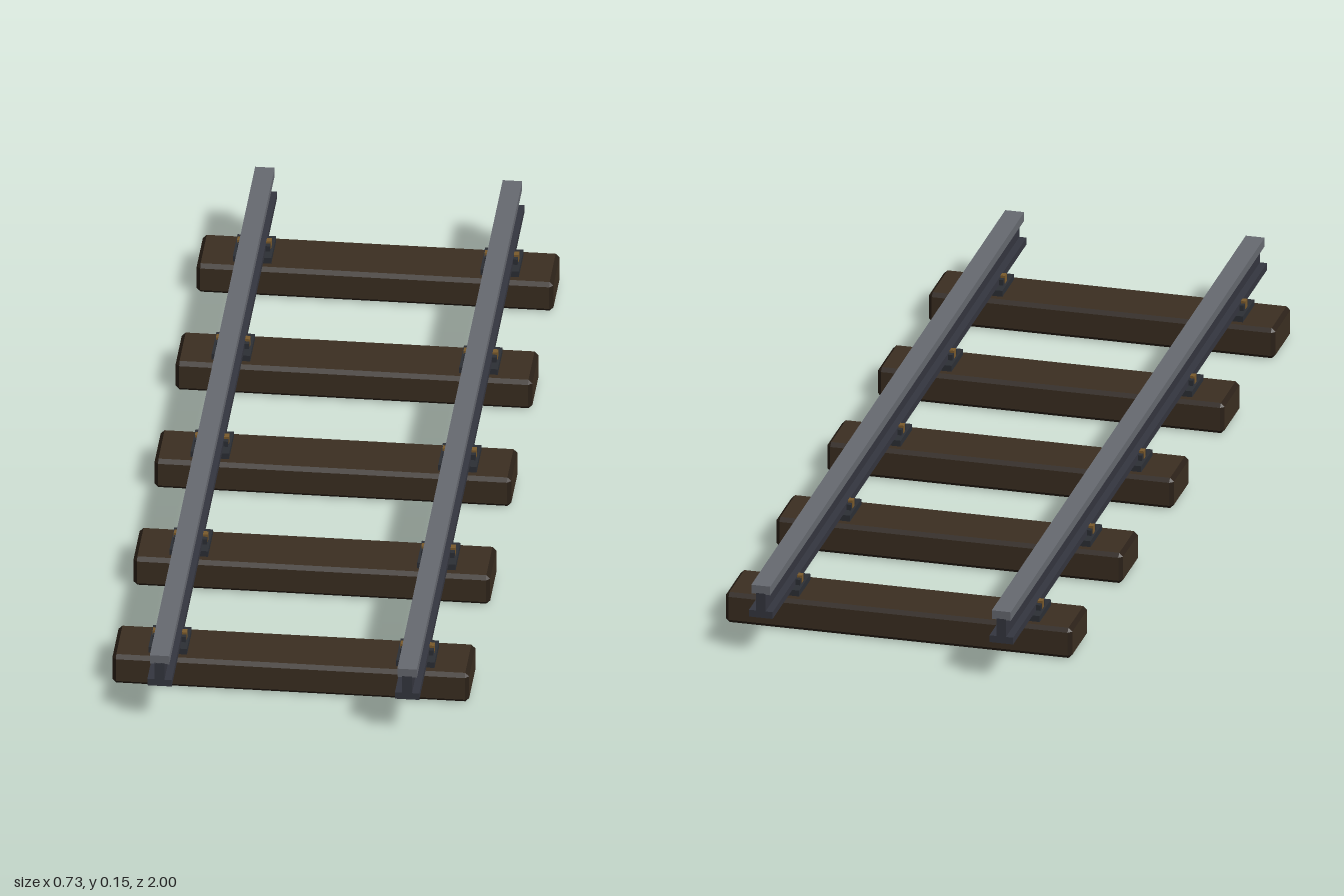
import * as THREE from 'three';
import { ConvexGeometry } from 'three/addons/geometries/ConvexGeometry.js';

const mat = (name, color) => {
  const m = new THREE.MeshStandardMaterial({ color });
  m.name = name;
  return m;
};

// Box with chamfered edges; material 0 on the flat sides, material 1 on the chamfers
function chamferedBox(w, h, d, c) {
  const pts = [];
  for (const x of [-1, 1]) for (const y of [-1, 1]) for (const z of [-1, 1]) {
    for (let k = 0; k < 3; k++) {
      pts.push(new THREE.Vector3(
        x * (w / 2 - (k === 0 ? 0 : c)),
        y * (h / 2 - (k === 1 ? 0 : c)),
        z * (d / 2 - (k === 2 ? 0 : c))));
    }
  }
  const geo = new ConvexGeometry(pts);
  const n = geo.attributes.normal;
  for (let i = 0; i < n.count; i += 3) {
    const flat = Math.max(Math.abs(n.getX(i)), Math.abs(n.getY(i)), Math.abs(n.getZ(i))) > 0.95;
    geo.addGroup(i, 3, flat ? 0 : 1);
  }
  return geo;
}

export function createModel() {
  const wood = mat('dark wood', 0x3b2e21);
  const woodEdge = mat('wood edge', 0x2a2017);
  const worn = mat('worn steel', 0x666970);
  const steel = mat('dark steel', 0x34363f);
  const iron = mat('iron plate', 0x2c2f35);
  const rust = mat('rusty spike', 0x7a5a2c);

  const model = new THREE.Group();
  model.name = 'railTrack';
  const add = (name, geo, material, x, y, z, parent = model) => {
    const mesh = new THREE.Mesh(geo, material);
    mesh.name = name;
    mesh.position.set(x, y, z);
    parent.add(mesh);
    return mesh;
  };

  const gauge = 0.254;
  const sleeperGeo = chamferedBox(0.732, 0.067, 0.132, 0.008);
  const plateGeo = new THREE.BoxGeometry(0.079, 0.014, 0.09);
  const clipGeo = new THREE.BoxGeometry(0.014, 0.012, 0.036);
  const spikeGeo = new THREE.BoxGeometry(0.01, 0.018, 0.014);

  // Sleepers with a fastening under each rail
  for (let i = -2; i <= 2; i++) {
    const z = i * 0.4;
    add('sleeper', sleeperGeo, [wood, woodEdge], 0, 0.0335, z);
    for (const side of [-1, 1]) {
      const fastening = new THREE.Group();
      fastening.name = 'fastening';
      fastening.position.set(side * gauge, 0, z);
      model.add(fastening);
      add('basePlate', plateGeo, iron, 0, 0.073, 0, fastening);
      for (const s of [-1, 1]) {
        add('clip', clipGeo, iron, s * 0.027, 0.086, 0, fastening);
        add('spike', spikeGeo, rust, s * 0.03, 0.088, 0, fastening);
      }
    }
  }

  // Rails: foot, web and head
  for (const side of [-1, 1]) {
    const x = side * gauge;
    add('railFoot', new THREE.BoxGeometry(0.05, 0.015, 2), steel, x, 0.0875, 0);
    add('railWeb', new THREE.BoxGeometry(0.02, 0.04, 2), steel, x, 0.114, 0);
    add('railHead', new THREE.BoxGeometry(0.04, 0.019, 2), worn, x, 0.1415, 0);
  }
  return model;
}
